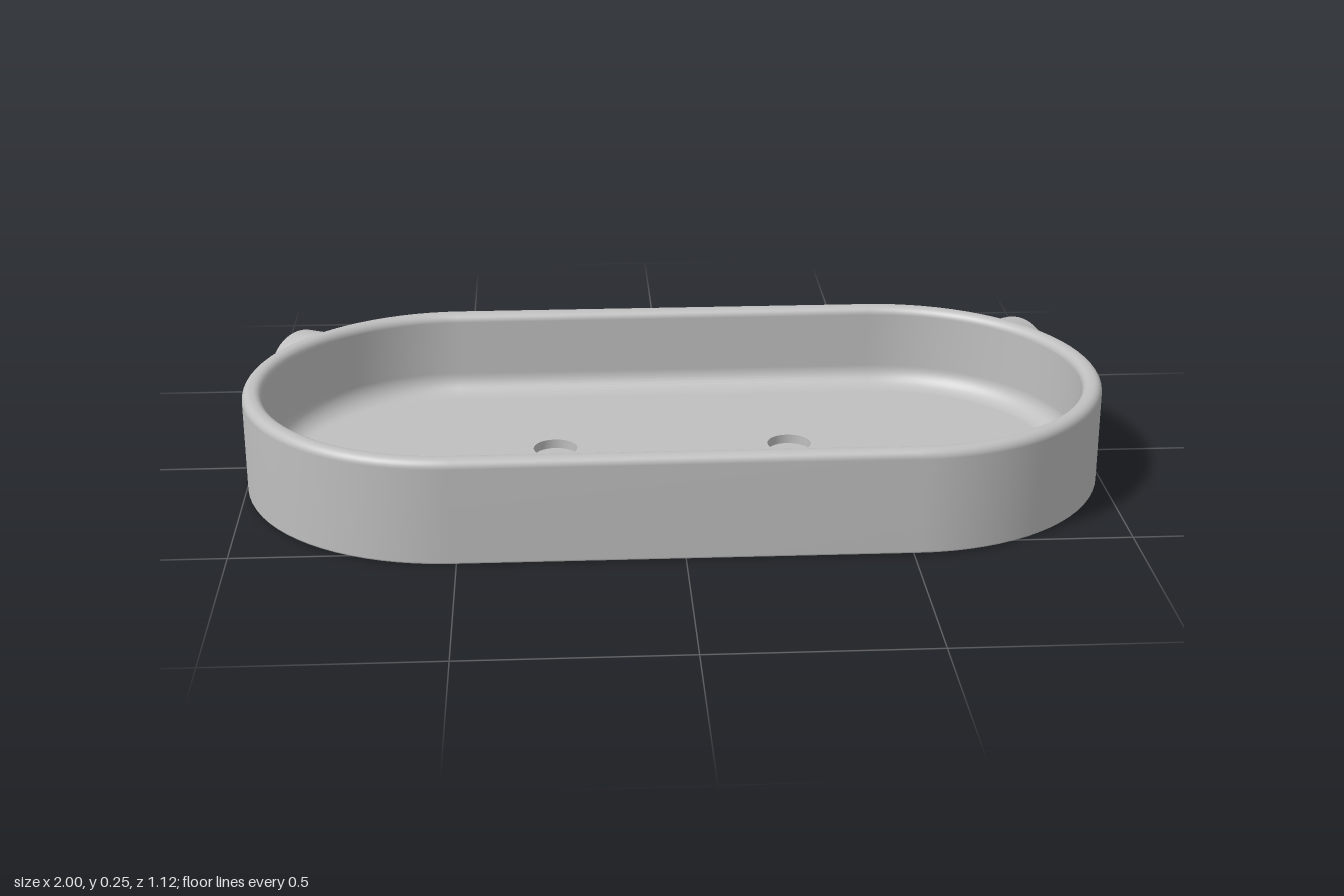
import * as THREE from 'three';

const R = 0.4875, L = 0.5125, CZ = 0.0725; // stadium outline: end radius, half straight length, centre z
const H = 0.245, WALL = 0.045, RIM = 0.02, FILLET = 0.05, FLOOR = 0.04, RECESS = 0.018, CHAMFER = 0.006;

// Stadium contour seen from above (x, v = -z), inset from the outer edge
function stadium(inset, n = 40) {
  const pts = [];
  for (const [cx, a0] of [[L, -Math.PI / 2], [-L, Math.PI / 2]]) {
    for (let i = 0; i <= n; i++) {
      const a = a0 + (Math.PI * i) / n;
      pts.push(new THREE.Vector2(cx + (R - inset) * Math.cos(a), -CZ + (R - inset) * Math.sin(a)));
    }
  }
  return pts;
}

function buffer(pos, idx) {
  const g = new THREE.BufferGeometry();
  g.setAttribute('position', new THREE.Float32BufferAttribute(pos, 3));
  g.setIndex(idx);
  g.computeVertexNormals();
  return g;
}

// Flat horizontal face from a contour
function flat(pts, y, holes = [], down = false) {
  const s = new THREE.Shape(pts);
  s.holes = holes.map((h) => new THREE.Path(h));
  const g = new THREE.ShapeGeometry(s);
  g.rotateX(-Math.PI / 2).translate(0, y, 0);
  if (down) {
    const ix = g.index.array;
    for (let i = 0; i < ix.length; i += 3) [ix[i], ix[i + 1]] = [ix[i + 1], ix[i]];
    g.computeVertexNormals();
  }
  return g;
}

// Wall swept round the stadium from a profile of [inset, y]
function sweepWall(profile) {
  const pos = [], idx = [], n = stadium(0).length;
  for (const [inset, y] of profile) for (const p of stadium(inset)) pos.push(p.x, y, -p.y);
  for (let j = 0; j < profile.length - 1; j++) {
    for (let i = 0; i < n; i++) {
      const a = j * n + i, b = j * n + ((i + 1) % n);
      idx.push(a, b, b + n, a, b + n, a + n);
    }
  }
  return buffer(pos, idx);
}

// Inward-facing side of a recess
function recessSide(pts) {
  const pos = [], idx = [], n = pts.length;
  for (const y of [FLOOR, RECESS]) for (const p of pts) pos.push(p.x, y, -p.y);
  for (let i = 0; i < n; i++) {
    const k = (i + 1) % n;
    idx.push(i, k, k + n, i, k + n, i + n);
  }
  return buffer(pos, idx);
}

function contour(path, div) {
  const pts = path.getPoints(div);
  return pts.filter((p, i) => p.distanceTo(pts[(i + 1) % pts.length]) > 1e-5);
}

function circle(x, z, r) {
  return contour(new THREE.Path().absarc(x, -z, r, 0, Math.PI * 2, false), 48);
}

// Two joined arcs with rounded ends
function mouthContour() {
  const c = 0.0615, w = 0.015, v = -0.08, PI = Math.PI;
  const ro = c + w, ri = c - w, a = Math.acos(c / ro);
  const p = new THREE.Path();
  p.absarc(-c, v, ro, PI, 2 * PI - a, false);
  p.absarc(c, v, ro, PI + a, 2 * PI, false);
  p.absarc(2 * c, v, w, 0, PI, false);
  p.absarc(c, v, ri, 2 * PI, PI, true);
  p.absarc(0, v, w, 0, PI, false);
  p.absarc(-c, v, ri, 2 * PI, PI, true);
  p.absarc(-2 * c, v, w, 0, PI, false);
  return contour(p, 16);
}

// Tapered ear: round section cut flat at the ground, lofted from tip to tray wall
function earParts(side) {
  const n = 40;
  const ring = ({ x, z, cy, r, lx, lz }) => {
    const cut = Math.asin(cy / r), pts = [];
    for (let i = 0; i <= n; i++) {
      const a = -cut + ((Math.PI + 2 * cut) * i) / n, d = r * Math.cos(a);
      pts.push([side * (x + lx * d), Math.max(0, cy + r * Math.sin(a)), z + lz * d]);
    }
    return pts;
  };
  const tip = ring({ x: 0.93, z: -0.5, cy: 0.073, r: 0.092, lx: 0.74, lz: 0.67 });
  const base = ring({ x: 0.755, z: -0.313, cy: 0.04, r: 0.161, lx: 0.849, lz: 0.529 });
  const tri = (a, b, c) => (side > 0 ? [a, b, c] : [a, c, b]);
  const skin = [], cap = [];
  for (let i = 0; i < n; i++) {
    const t = i, b = n + 1 + i;
    skin.push(...tri(t, b + 1, b), ...tri(t, t + 1, b + 1));
    if (i > 0) cap.push(...tri(0, i + 1, i));
  }
  return {
    Side: buffer([...tip, ...base].flat(), skin),
    Tip: buffer(tip.flat(), cap),
    Underside: buffer([tip[0], tip[n], base[n], base[0]].flat(), [...tri(0, 2, 1), ...tri(0, 3, 2)]),
  };
}

export function createModel() {
  const model = new THREE.Group();
  model.name = 'tray';
  const grey = new THREE.MeshStandardMaterial({ color: 0xbfbfbf });
  grey.name = 'grey';
  grey.side = THREE.DoubleSide;
  const add = (parent, name, geometry) => {
    const m = new THREE.Mesh(geometry, grey);
    m.name = name;
    parent.add(m);
  };

  // Wall profile: foot, rounded rim, inner fillet
  const profile = [[CHAMFER, 0], [0.002, 0.002], [0, CHAMFER]];
  const arc = (cx, cy, r, a0, a1, n = 8) => {
    for (let i = 0; i <= n; i++) {
      const a = a0 + ((a1 - a0) * i) / n;
      profile.push([cx + r * Math.cos(a), cy + r * Math.sin(a)]);
    }
  };
  arc(RIM, H - RIM, RIM, Math.PI, Math.PI / 2);
  arc(WALL - RIM, H - RIM, RIM, Math.PI / 2, 0);
  arc(WALL + FILLET, FLOOR + FILLET, FILLET, Math.PI, Math.PI * 1.5, 10);
  add(model, 'wall', sweepWall(profile));
  add(model, 'underside', flat(stadium(CHAMFER), 0, [], true));

  // Floor with the sunken face
  const recesses = {
    leftEye: circle(0.28, 0.0125, 0.052),
    rightEye: circle(-0.28, 0.0125, 0.052),
    leftCheek: circle(0.59, 0.19, 0.113),
    rightCheek: circle(-0.59, 0.19, 0.113),
    mouth: mouthContour(),
  };
  add(model, 'floor', flat(stadium(WALL + FILLET), FLOOR, Object.values(recesses)));
  for (const [name, pts] of Object.entries(recesses)) {
    add(model, name + 'Side', recessSide(pts));
    add(model, name + 'Bottom', flat(pts, RECESS));
  }

  // Ears
  for (const [name, side] of [['leftEar', 1], ['rightEar', -1]]) {
    const ear = new THREE.Group();
    ear.name = name;
    for (const [part, g] of Object.entries(earParts(side))) add(ear, name + part, g);
    model.add(ear);
  }
  return model;
}
